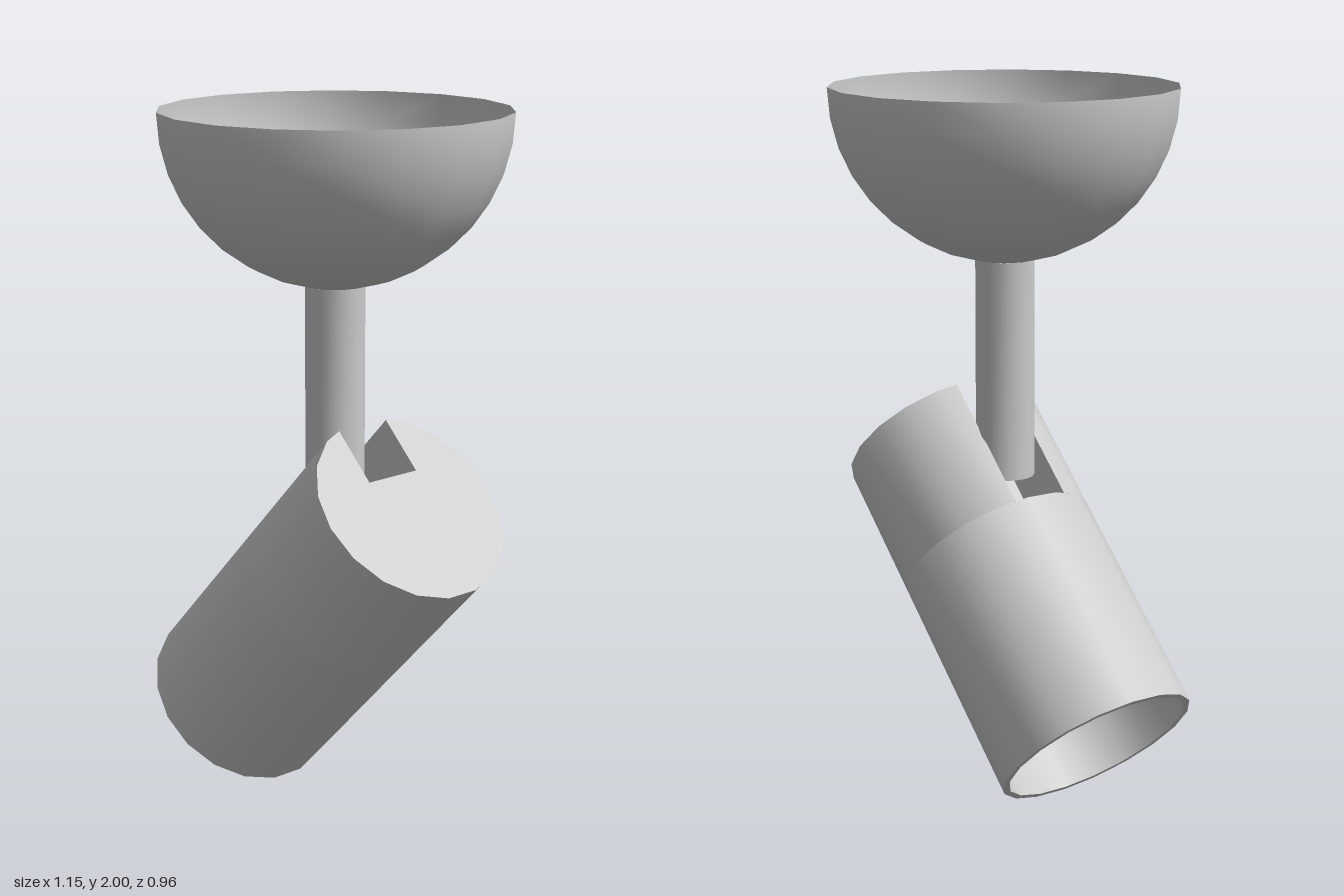
import * as THREE from 'three';
import { toCreasedNormals } from 'three/addons/utils/BufferGeometryUtils.js';

const SIDES = 18;
const STEM_X = 0.057;

export function createModel() {
  const model = new THREE.Group();
  const material = new THREE.MeshStandardMaterial({ color: 0xcccccc, side: THREE.DoubleSide });

  const add = (parent, name, geometry, x = 0, y = 0, z = 0) => {
    const mesh = new THREE.Mesh(geometry, material);
    mesh.name = name;
    mesh.position.set(x, y, z);
    parent.add(mesh);
    return mesh;
  };

  // Ceiling canopy: an open half sphere
  add(model, 'ceilingCanopy',
    new THREE.SphereGeometry(0.487, SIDES, 9, 0, Math.PI * 2, Math.PI / 2, Math.PI / 2), STEM_X, 2, 0);

  // Stem from the canopy into the slot of the lamp
  const stemBottom = 0.9, stemTop = 1.52;
  add(model, 'stem',
    toCreasedNormals(new THREE.CylinderGeometry(0.083, 0.083, stemTop - stemBottom, SIDES), 0.6),
    STEM_X, (stemBottom + stemTop) / 2, 0);

  // Tilted lamp; its local y is the axis, local -x the slotted side
  const lamp = new THREE.Group();
  lamp.name = 'lampHead';
  lamp.position.set(0, 0.58, -0.003);
  lamp.rotation.set(0.022, 0, -Math.PI / 4);
  model.add(lamp);

  const radius = 0.288, half = 0.53, slotLength = 0.4;
  const slotEnd = half - slotLength;

  // Lower housing: closed above, hollow and open below
  const profile = [
    [0, 0.1], [0.27, 0.1], [0.27, -half], [radius, -half], [radius, slotEnd], [0, slotEnd],
  ].map(([r, y]) => new THREE.Vector2(r, y));
  add(lamp, 'lowerHousing', toCreasedNormals(new THREE.LatheGeometry(profile, SIDES), 0.6));

  // Upper housing: round section with a slot for the stem
  const section = [];
  for (let deg = 150; deg >= -150; deg -= 20) {
    const a = THREE.MathUtils.degToRad(deg);
    section.push(new THREE.Vector2(radius * Math.cos(a), radius * Math.sin(a)));
  }
  for (const [x, y] of [[-0.271, -0.086], [-0.1, -0.086], [-0.1, 0.086], [-0.271, 0.086]]) {
    section.push(new THREE.Vector2(x, y));
  }
  const upper = new THREE.ExtrudeGeometry(new THREE.Shape(section), { depth: slotLength, bevelEnabled: false });
  upper.rotateX(-Math.PI / 2);
  add(lamp, 'upperHousing', toCreasedNormals(upper, 0.6), 0, slotEnd, 0);

  return model;
}
